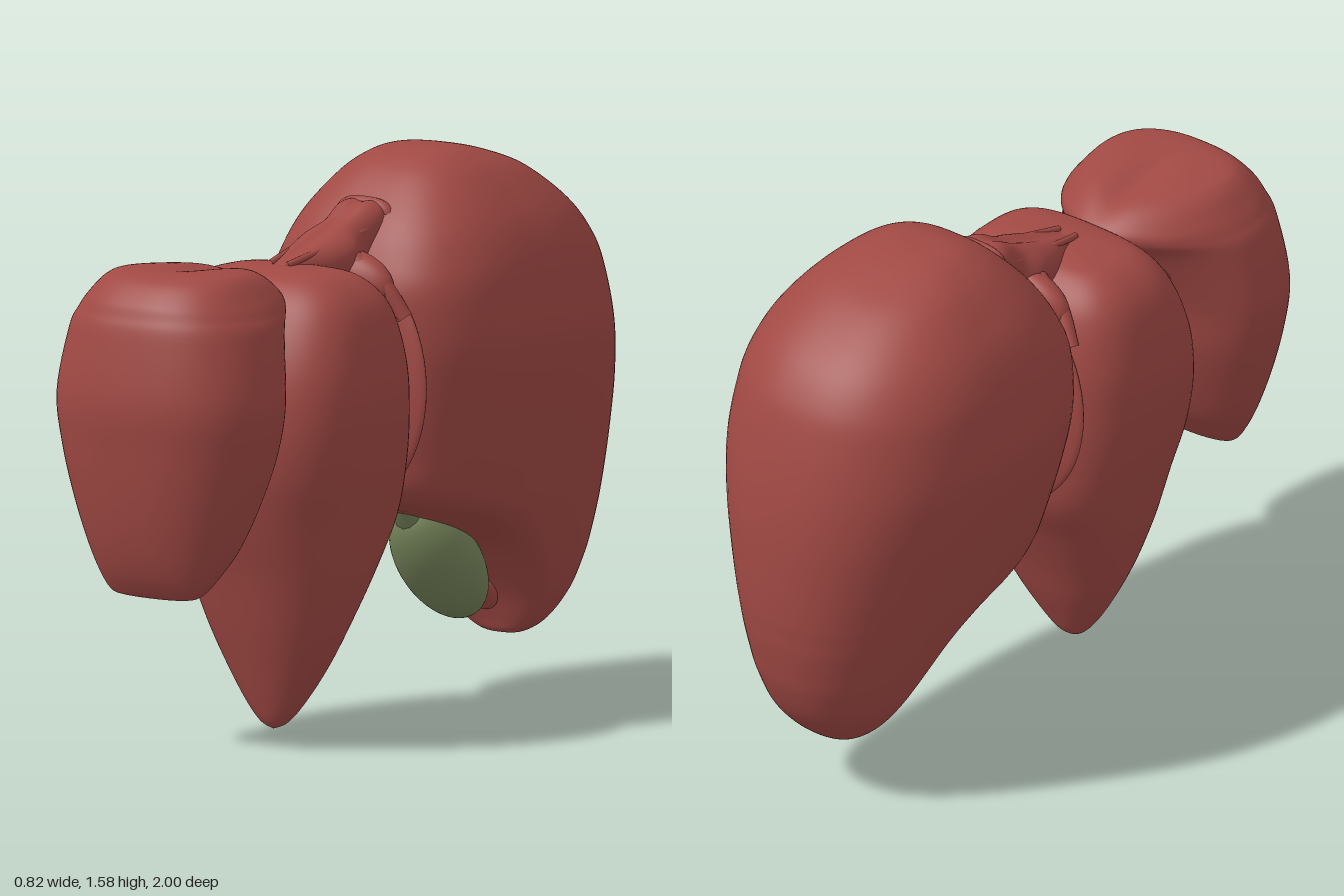
import * as THREE from 'three';

const tissue = new THREE.MeshStandardMaterial({ color: 0xa14944 });
tissue.name = 'liver red';
const bile = new THREE.MeshStandardMaterial({ color: 0x76845a });
bile.name = 'gallbladder green';

// Smooth closed body from rows [y, zFront, zBack, halfWidth, zWidest], top to bottom.
// shape(t) gives the roundness exponents [front, back]; warp may move each point.
function loft(rows, shape, warp) {
  const curves = [1, 2, 3, 4].map(k => new THREE.SplineCurve(
    rows.map(r => new THREE.Vector2(r[0], r[k] ?? (r[1] + r[2]) / 2))));
  const steps = (rows.length - 1) * 6, segs = 72;
  const pos = [], idx = [], v = new THREE.Vector3();
  const power = (s, n) => Math.sign(s) * Math.pow(Math.abs(s), 2 / n);
  for (let i = 0; i <= steps; i++) {
    const t = i / steps, y = curves[0].getPoint(t).x;
    const [f, b, w, c] = curves.map(curve => curve.getPoint(t).y);
    const [nf, nb] = shape(t);
    for (let j = 0; j < segs; j++) {
      const a = j / segs * Math.PI * 2, s = Math.sin(a);
      const z = s > 0 ? c + (f - c) * power(s, nf) : c + (c - b) * power(s, nb);
      v.set(Math.max(w, 0) * power(Math.cos(a), s > 0 ? nf : nb), y, z);
      if (warp) warp(v);
      pos.push(v.x, v.y, v.z);
      if (i < steps) {
        const A = i * segs + j, C = i * segs + (j + 1) % segs;
        idx.push(A, C, A + segs, C, C + segs, A + segs);
      }
    }
  }
  const g = new THREE.BufferGeometry();
  g.setAttribute('position', new THREE.Float32BufferAttribute(pos, 3));
  g.setIndex(idx);
  g.computeVertexNormals();
  return g;
}

const bump = (d, w) => Math.exp(-(d * d) / (w * w));

export function createModel() {
  const group = new THREE.Group();
  const add = (name, geo, mat = tissue) => {
    const m = new THREE.Mesh(geo, mat);
    m.name = name;
    group.add(m);
    return m;
  };
  const blob = (name, p, s, mat = tissue, tilt = 0) => {
    const m = add(name, new THREE.SphereGeometry(1, 40, 28), mat);
    m.position.set(...p);
    m.scale.set(...s);
    m.rotation.x = tilt;
  };
  const tube = (name, pts, r, mat) => add(name, new THREE.TubeGeometry(
    new THREE.CatmullRomCurve3(pts.map(p => new THREE.Vector3(...p))), 24, r, 12), mat);

  // Large rear lobe with its slanted underside
  add('rearLobe', loft([
    [1.577, -.38, -.38, 0, -.38], [1.573, -.31, -.45, .1, -.38], [1.55, -.24, -.55, .165, -.41],
    [1.5, -.17, -.68, .235, -.44], [1.4, -.08, -.82, .32, -.46], [1.3, -.02, -.90, .37, -.475],
    [1.2, .015, -.94, .395, -.48], [1.05, .01, -.975, .41, -.485], [.9, -.015, -.995, .39, -.505],
    [.75, -.045, -1, .355, -.53], [.64, -.07, -.998, .325, -.555], [.58, -.14, -.993, .308, -.572],
    [.53, -.30, -.988, .292, -.588], [.46, -.46, -.975, .268, -.615], [.38, -.565, -.955, .238, -.645],
    [.28, -.64, -.91, .19, -.685], [.2, -.68, -.84, .13, -.715], [.16, -.70, -.78, .065, -.73],
    [.152, -.735, -.735, 0, -.735],
  ], t => [2.6 + .5 * Math.min(1, t * 3) - .4 * Math.max(0, t * 2 - 1), 2.3]));

  // Tall middle lobe tapering to a rounded point
  add('middleLobe', loft([
    [1.31, .26, .26, 0], [1.305, .33, .19, .13], [1.28, .40, .12, .23], [1.2, .47, .05, .305],
    [1.05, .535, .005, .348], [.9, .56, -.01, .357], [.75, .555, -.018, .342], [.6, .52, -.01, .308],
    [.45, .47, .065, .273], [.3, .425, .135, .218], [.18, .385, .185, .16], [.08, .35, .235, .098],
    [.02, .325, .27, .045], [0, .30, .30, 0],
  ], t => [3.3 - 1.5 * t, 3.5 - 1.5 * t]));

  // Front lobe, pointed towards the back and creased on top
  add('frontLobe', loft([
    [1.352, .74, .74, 0, .74], [1.348, .83, .60, .16, .73], [1.33, .885, .48, .215, .72],
    [1.28, .935, .40, .26, .72], [1.24, .955, .395, .288, .72], [1.18, .975, .46, .318, .72],
    [1.0, 1, .545, .355, .72], [.85, .985, .575, .337, .73], [.7, .96, .625, .293, .75],
    [.58, .93, .675, .245, .775], [.5, .90, .73, .20, .805], [.45, .87, .775, .16, .825],
    [.435, .855, .81, .115, .833], [.43, .835, .835, 0, .835],
  ], t => [2.4, 1.7 + .6 * t], v => {
    if (v.y > 1.2) v.y -= .02 * bump(v.x, .05) * bump(v.z - .57, .15) * Math.min(1, (v.y - 1.2) * 10);
  }));

  // Ligament running over the top between the lobes
  const ligament = add('ligament', loft([
    [.22, 0, 0, 0], [.215, .02, -.07, .07], [.17, .035, -.1, .085], [.09, .02, -.14, .08],
    [.02, .012, -.15, .105], [-.06, .008, -.14, .09], [-.14, .008, -.11, .055],
    [-.22, 0, -.09, .04], [-.24, -.03, -.03, 0],
  ], () => [2.2, 2.2], v => {
    if (v.z > 0) v.z -= .012 * bump(v.x, .025);
  }));
  ligament.position.set(0, 1.37, .09);
  ligament.rotation.x = -1.27;
  tube('ligamentArch', [[-.1, 1.385, -.115], [-.07, 1.43, -.11], [0, 1.442, -.11], [.07, 1.43, -.11], [.1, 1.385, -.115]], .017);

  // Mirrored folds spreading from the ligament
  for (const s of [-1, 1]) {
    tube('ligamentFold', [[s * .05, 1.34, .05], [s * .11, 1.295, .045], [s * .18, 1.245, .035], [s * .24, 1.15, .01]], .022);
    tube('ligamentStrand', [[s * .07, 1.385, -.06], [s * .06, 1.36, .05], [s * .03, 1.31, .28]], .01);
  }

  // Tissue filling the clefts between the lobes
  blob('frontBridge', [0, 1.1, .53], [.17, .18, .07]);
  blob('upperBridge', [0, 1.23, .03], [.21, .11, .07]);
  blob('septum', [0, .95, -.01], [.3, .36, .035]);
  blob('hilum', [0, .66, -.03], [.17, .05, .06]);

  // Gallbladder, its neck and the nearby vessels
  blob('gallbladder', [0, .392, -.44], [.125, .212, .11], bile, .7);
  tube('gallbladderNeck', [[0, .47, -.36], [0, .53, -.31], [0, .6, -.27]], .045, bile);
  tube('hilumVessel', [[0, .64, -.14], [0, .62, -.05], [0, .6, .06]], .028);
  blob('lowerKnob', [0, .28, -.63], [.05, .06, .03], tissue, .5);

  return group;
}
